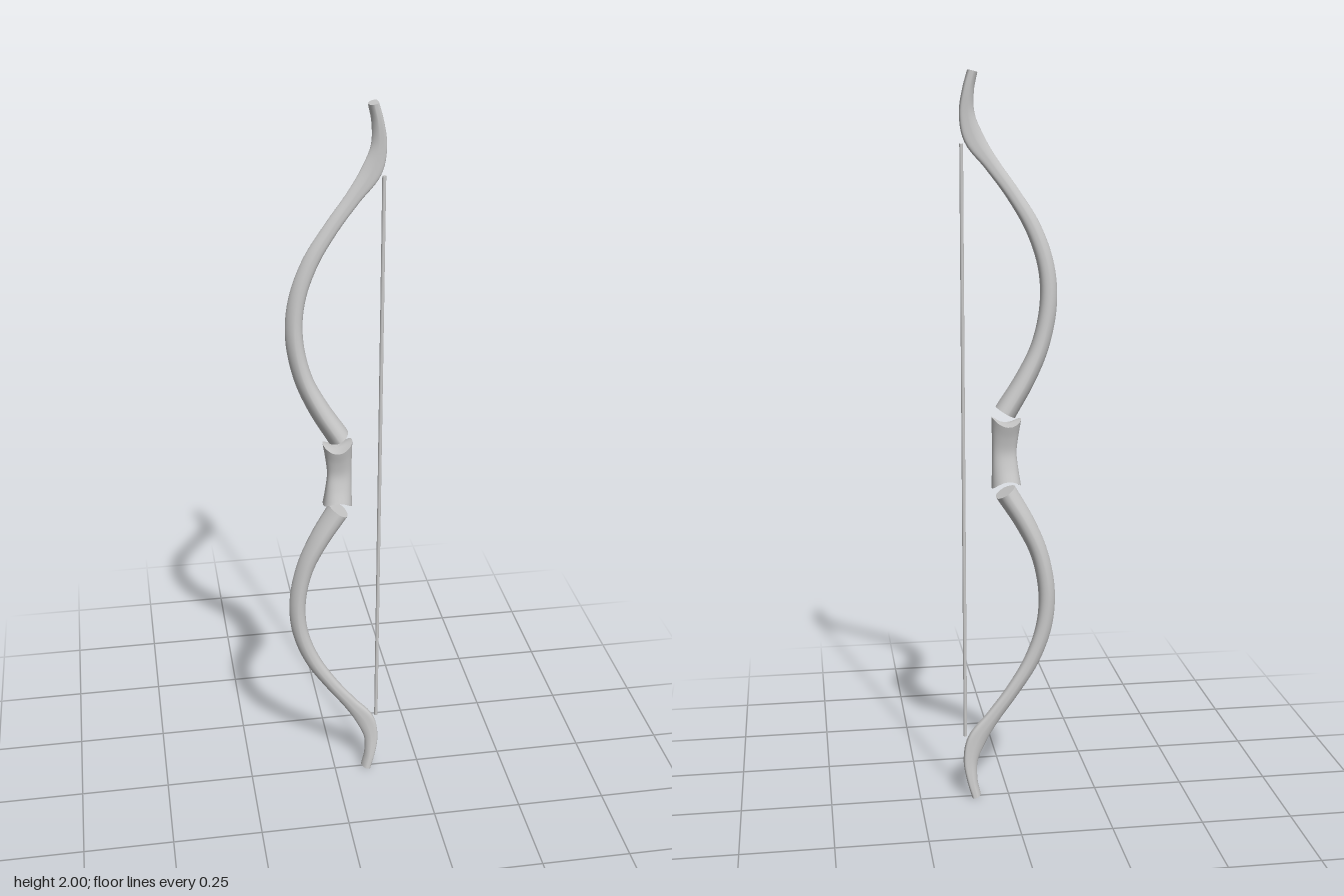
import * as THREE from 'three';

const SIDES = 28;

// Sweeps a section along a path in the x-y plane.
// Stations are [x, y, half thickness, half width, roundness of the +x side];
// nose is the roundness of the -x side (1 = elliptic, less = boxy, more = pointed).
// dish raises the +x and -x rims of the end faces.
function loft(stations, steps, nose, dish = 0) {
  const path = new THREE.CatmullRomCurve3(stations.map(s => new THREE.Vector3(s[0], s[1], 0)));
  const size = new THREE.CatmullRomCurve3(stations.map(s => new THREE.Vector3(s[2], s[3], s[4])), false, 'catmullrom', 0.5);
  const pos = [], idx = [], rings = [];
  const power = (v, e) => (Math.abs(v) < 1e-6 ? 0 : Math.sign(v) * Math.pow(Math.abs(v), e));

  for (let i = 0; i <= steps; i++) {
    const t = i / steps;
    const p = path.getPoint(t), d = path.getTangent(t), s = size.getPoint(t);
    const ring = [];
    for (let j = 0; j < SIDES; j++) {
      const a = (j / SIDES) * Math.PI * 2;
      const e = Math.cos(a) > 0 ? s.z : nose;
      const u = power(Math.cos(a), e), v = power(Math.sin(a), e);
      const lift = dish * (2 * t - 1) * u * u;
      ring.push([p.x + d.y * u * s.x, p.y - d.x * u * s.x + lift, v * s.y]);
    }
    rings.push({ ring, center: [p.x, p.y, 0] });
    pos.push(...ring.flat());
  }
  for (let i = 0; i < steps; i++) {
    for (let j = 0; j < SIDES; j++) {
      const a = i * SIDES + j, b = i * SIDES + ((j + 1) % SIDES);
      idx.push(a, a + SIDES, b, b, a + SIDES, b + SIDES);
    }
  }
  // End faces have their own vertices so their edges stay sharp
  for (const end of [0, steps]) {
    const base = pos.length / 3;
    pos.push(...rings[end].center, ...rings[end].ring.flat());
    for (let j = 0; j < SIDES; j++) {
      const a = base + 1 + j, b = base + 1 + ((j + 1) % SIDES);
      if (end === 0) idx.push(base, a, b);
      else idx.push(base, b, a);
    }
  }
  const geo = new THREE.BufferGeometry();
  geo.setAttribute('position', new THREE.Float32BufferAttribute(pos, 3));
  geo.setIndex(idx);
  geo.computeVertexNormals();
  return geo;
}

export function createModel() {
  const bow = new THREE.Group();
  bow.name = 'bow';
  const grey = new THREE.MeshStandardMaterial({ color: 0xcccccc });
  const add = (name, geo) => {
    const mesh = new THREE.Mesh(geo, grey);
    mesh.name = name;
    mesh.position.y = 1;
    bow.add(mesh);
    return mesh;
  };

  // Recurved limb, heights measured from the middle of the bow;
  // round at the grip, flat-backed and boxy at the tip
  const limb = loft([
    [0.008, 0.11, 0.03, 0.04, 0.9],
    [-0.046, 0.2, 0.027, 0.035, 0.9],
    [-0.086, 0.29, 0.024, 0.029, 0.9],
    [-0.107, 0.4, 0.023, 0.025, 0.9],
    [-0.1, 0.5, 0.022, 0.022, 0.85],
    [-0.065, 0.6, 0.021, 0.019, 0.8],
    [-0.01, 0.69, 0.019, 0.016, 0.7],
    [0.045, 0.765, 0.02, 0.013, 0.6],
    [0.09, 0.83, 0.026, 0.012, 0.5],
    [0.107, 0.89, 0.02, 0.014, 0.45],
    [0.103, 0.95, 0.015, 0.019, 0.45],
    [0.092, 0.996, 0.013, 0.022, 0.45],
  ], 66, 1.25);
  add('upperLimb', limb);
  add('lowerLimb', limb).rotation.x = Math.PI;

  // Waisted grip with hollowed ends
  add('grip', loft([
    [0.006, -0.075, 0.04, 0.037, 0.9],
    [0.009, -0.04, 0.036, 0.027, 0.9],
    [0.011, 0, 0.033, 0.021, 0.9],
    [0.009, 0.04, 0.036, 0.027, 0.9],
    [0.006, 0.075, 0.04, 0.037, 0.9],
  ], 20, 0.8, 0.02));

  // String between the two nocks
  const string = add('string', new THREE.CylinderGeometry(0.005, 0.005, 1.63, 10));
  string.position.x = 0.122;

  return bow;
}
